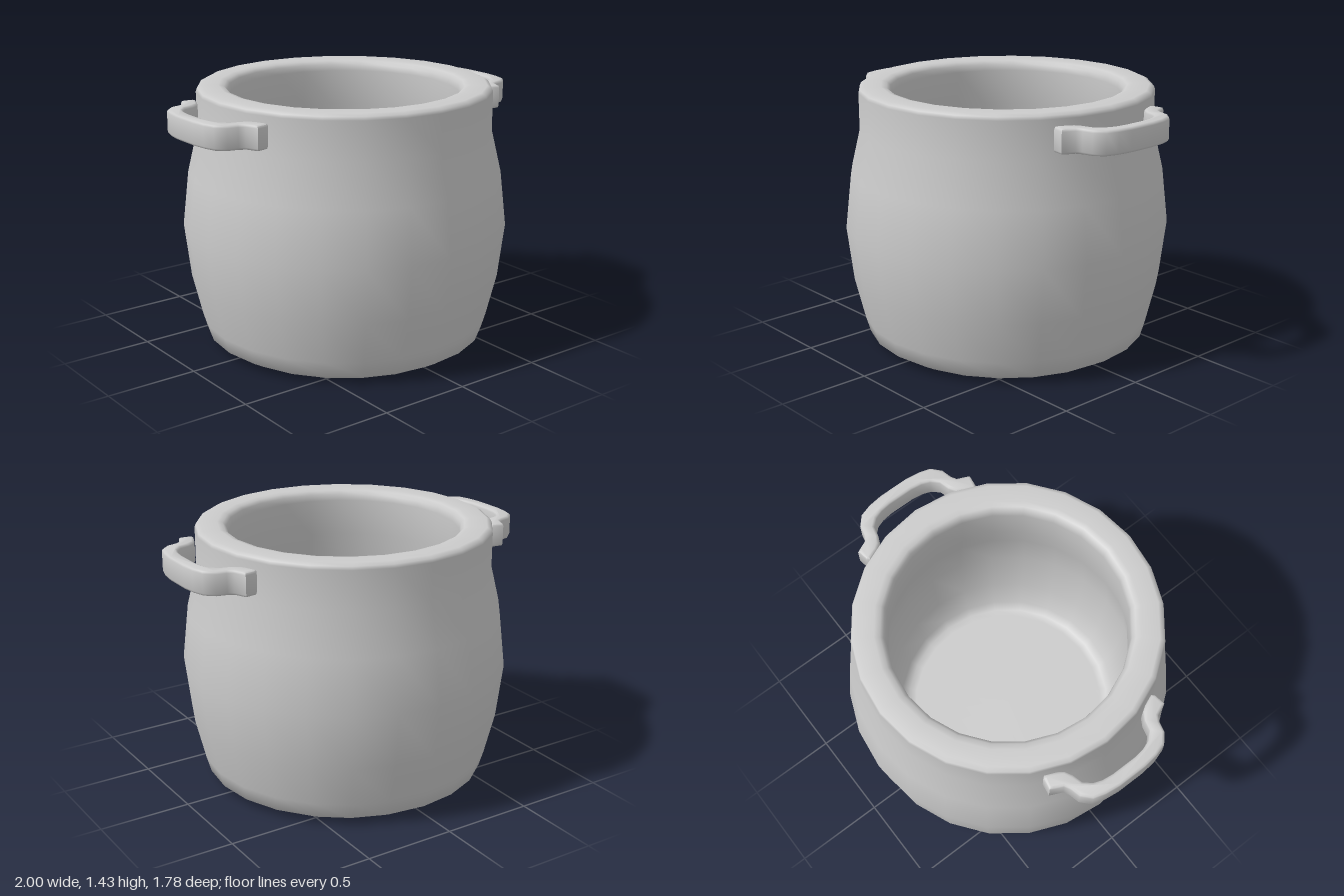
import * as THREE from 'three';
import { toCreasedNormals } from 'three/addons/utils/BufferGeometryUtils.js';

const material = new THREE.MeshStandardMaterial({ color: 0xcccccc });
const toVectors = (list) => list.map(([x, y]) => new THREE.Vector2(x, y));

// Thick-walled barrel: base, bulging outside, rounded rim, then the inside down to the floor
function makePot() {
  const profile = toVectors([
    [0, 0], [0.68, 0], [0.705, 0.004], [0.775, 0.045], [0.8, 0.13],
    [0.855, 0.36], [0.89, 0.66], [0.855, 0.96], [0.8, 1.19],
    [0.8, 1.4], [0.793, 1.418], [0.77, 1.43],
    [0.68, 1.43], [0.65, 1.423], [0.632, 1.405], [0.625, 1.37],
    [0.63, 1.17], [0.68, 0.96], [0.715, 0.66], [0.68, 0.36],
    [0.63, 0.2], [0.59, 0.165], [0.55, 0.16], [0, 0.16],
  ]);
  const pot = new THREE.Mesh(new THREE.LatheGeometry(profile, 24), material);
  pot.name = 'pot';
  return pot;
}

// Flat band bent into a bow, with splayed feet that bite into the neck
function makeHandle(name, turn) {
  const outer = [[0.805, 0.365], [0.815, 0.345], [0.835, 0.3], [0.865, 0.283],
    [0.92, 0.27], [0.97, 0.225], [0.99, 0.16], [1, 0.08]];
  const inner = [[0.93, 0.07], [0.922, 0.13], [0.905, 0.175], [0.87, 0.213],
    [0.815, 0.227], [0.775, 0.25], [0.755, 0.28], [0.73, 0.34], [0.742, 0.355]];
  const mirror = (side) => side.map(([x, z]) => [x, -z]).reverse();
  const outline = [...outer, ...mirror(outer), ...mirror(inner), ...inner];
  const bevel = 0.014;
  const geometry = new THREE.ExtrudeGeometry(new THREE.Shape(toVectors(outline)), {
    depth: 0.13 - 2 * bevel,
    bevelThickness: bevel,
    bevelSize: bevel,
    bevelOffset: -bevel,
    bevelSegments: 2,
  });
  geometry.rotateX(-Math.PI / 2).translate(0, 1.24 + bevel, 0);
  const handle = new THREE.Mesh(toCreasedNormals(geometry, 0.9), material);
  handle.rotation.y = turn;
  handle.name = name;
  return handle;
}

export function createModel() {
  const group = new THREE.Group();
  group.name = 'cookingPot';
  group.add(makePot(), makeHandle('leftHandle', 0), makeHandle('rightHandle', Math.PI));
  return group;
}
